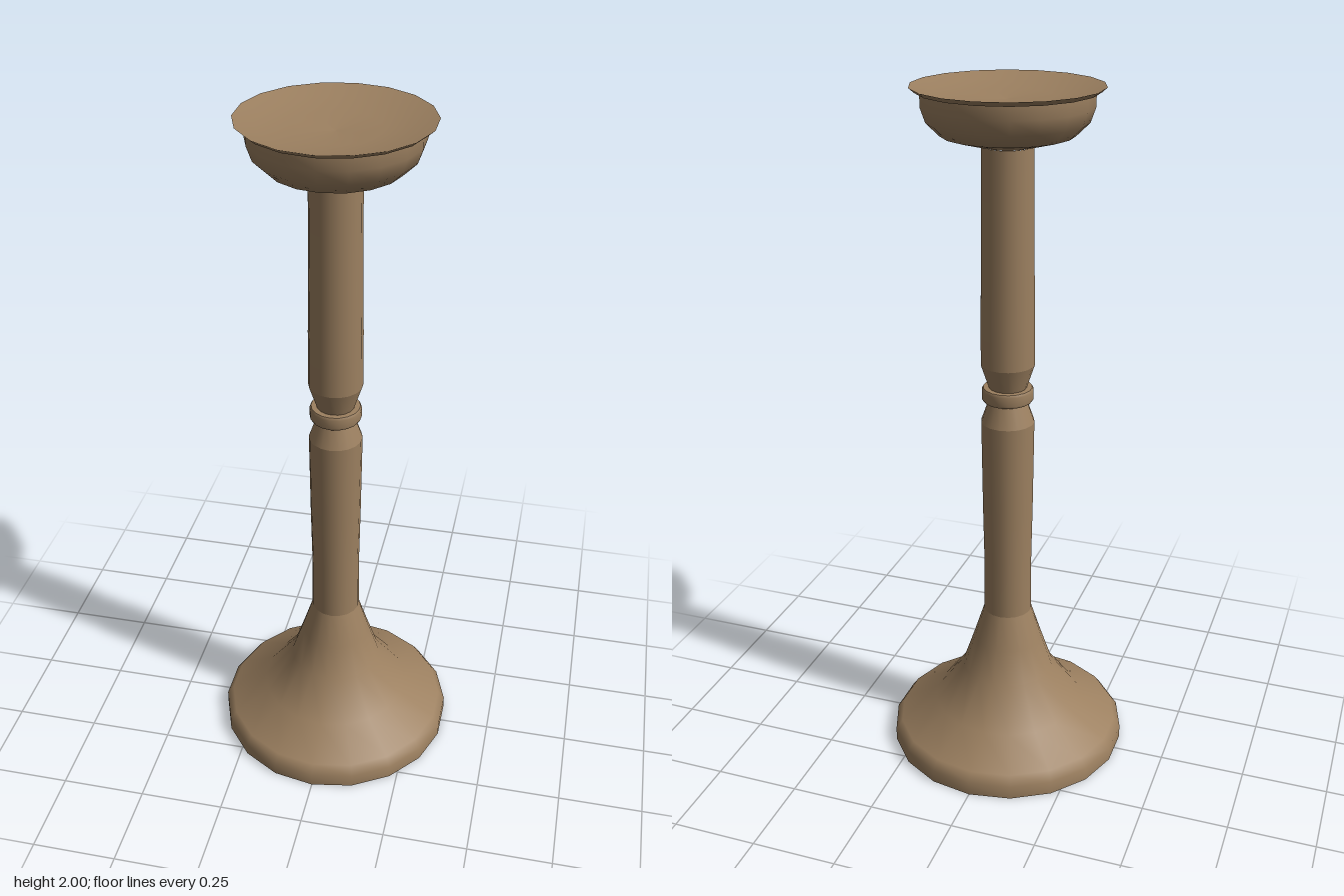
import * as THREE from 'three';

const SIDES = 18;

export function createModel() {
  const group = new THREE.Group();
  group.name = 'pedestalStand';
  const wood = new THREE.MeshStandardMaterial({ color: 0x9c8060 });

  // Each section is turned separately so the joints between them stay sharp.
  const turn = (name, profile) => {
    const points = profile.map(([r, y]) => new THREE.Vector2(r, y));
    const mesh = new THREE.Mesh(new THREE.LatheGeometry(points, SIDES), wood);
    mesh.name = name;
    group.add(mesh);
  };

  // Flared foot
  turn('footUnderside', [[0, 0], [0.355, 0]]);
  turn('foot', [[0.355, 0], [0.355, 0.04], [0.335, 0.068], [0.225, 0.13],
    [0.138, 0.245], [0.104, 0.345], [0.072, 0.445]]);

  // Two shaft halves, each tapering to the collar
  turn('lowerShaft', [[0.072, 0.445], [0.071, 0.62], [0.074, 0.79], [0.077, 1.06]]);
  turn('lowerNeck', [[0.077, 1.06], [0.054, 1.125]]);
  turn('upperNeck', [[0.054, 1.165], [0.077, 1.235]]);
  turn('upperShaft', [[0.077, 1.235], [0.076, 1.4], [0.073, 1.56], [0.071, 1.845]]);

  // Collar ring
  turn('collarUnderside', [[0.05, 1.125], [0.07, 1.125]]);
  turn('collar', [[0.07, 1.125], [0.074, 1.132], [0.074, 1.158], [0.07, 1.165]]);
  turn('collarTop', [[0.07, 1.165], [0.05, 1.165]]);

  // Cup with a thin overhanging rim and a shallow dished top
  turn('cup', [[0.07, 1.845], [0.18, 1.875], [0.216, 1.91], [0.23, 1.95], [0.23, 1.985]]);
  turn('rimUnderside', [[0.23, 1.985], [0.243, 1.987], [0.258, 2]]);
  turn('dish', [[0.258, 2], [0.2, 1.985], [0.12, 1.972], [0, 1.965]]);

  return group;
}
